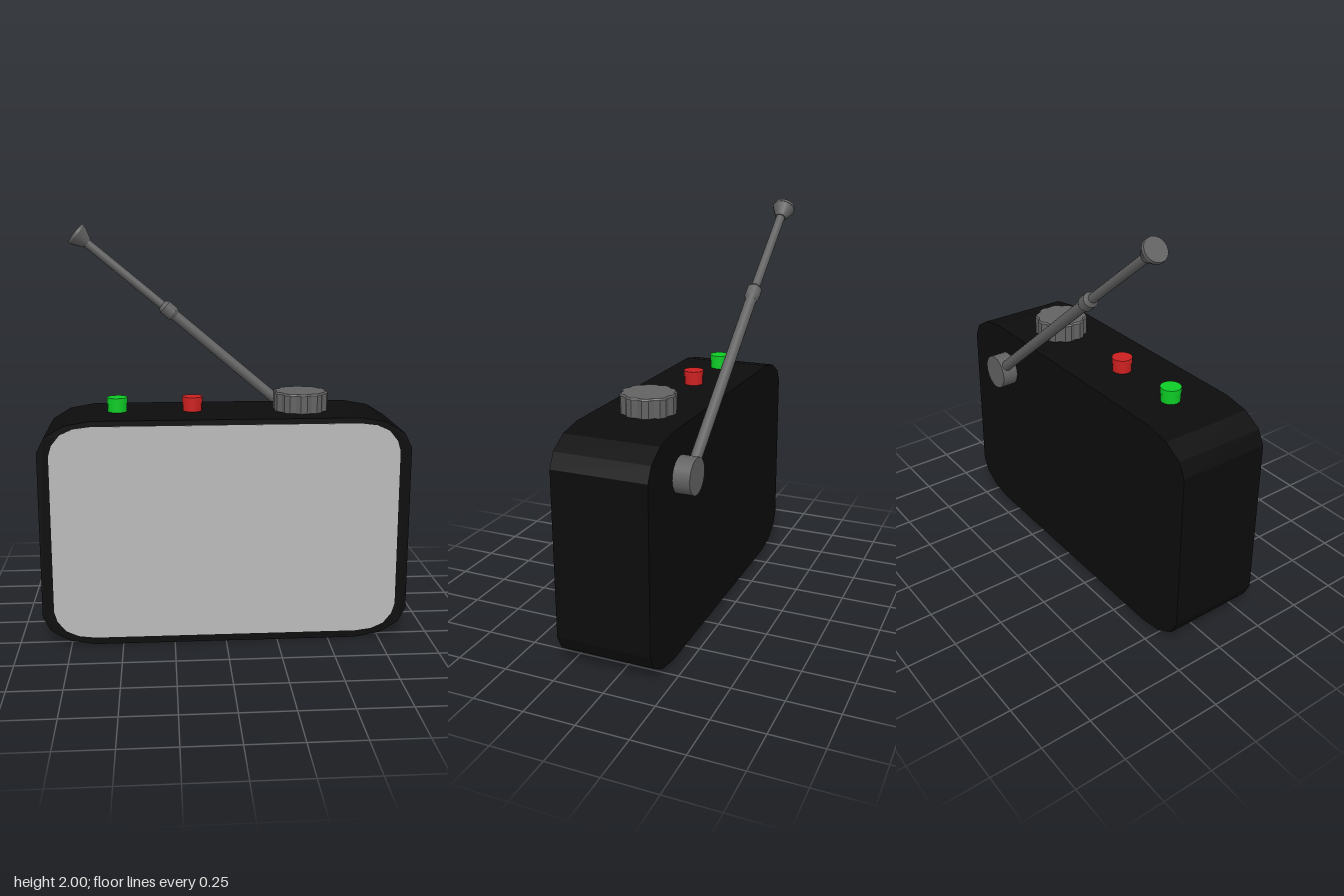
import * as THREE from 'three';

const mat = (name, color) => {
  const m = new THREE.MeshStandardMaterial({ color });
  m.name = name;
  return m;
};

// Outline symmetric about x = 0 and the given mid height, from one corner's points
function mirroredShape(corner, mid) {
  const back = [...corner].reverse();
  const pts = [
    ...corner.map(([x, y]) => [x, mid + y]),
    ...back.map(([x, y]) => [-x, mid + y]),
    ...corner.map(([x, y]) => [-x, mid - y]),
    ...back.map(([x, y]) => [x, mid - y]),
  ];
  return new THREE.Shape(pts.map(([x, y]) => new THREE.Vector2(x, y)));
}

export function createModel() {
  const group = new THREE.Group();
  const black = mat('black casing', 0x0c0c0c);
  const grey = mat('dark grey', 0x626262);
  const silver = mat('light grey panel', 0xbababa);
  const green = mat('green', 0x0dcc25);
  const red = mat('red', 0xcc2020);

  const add = (name, geometry, material, parent = group) => {
    const mesh = new THREE.Mesh(geometry, material);
    mesh.name = name;
    parent.add(mesh);
    return mesh;
  };

  // Casing with faceted corners
  const casing = mirroredShape([[0.885, 0.405], [0.85, 0.475], [0.76, 0.53], [0.635, 0.5525]], 0.5525);
  add('casing', new THREE.ExtrudeGeometry(casing, { depth: 0.465, bevelEnabled: false }), black)
    .position.z = -0.175;

  // Front panel, a thin plate
  const panel = mirroredShape([[0.83, 0.385], [0.815, 0.435], [0.775, 0.485], [0.715, 0.512], [0.635, 0.522]], 0.5565);
  add('frontPanel', new THREE.ExtrudeGeometry(panel, { depth: 0.004, bevelEnabled: false }), silver)
    .position.z = 0.288;

  // Buttons with a slight lip at the top
  for (const [name, x, material] of [['greenButton', -0.515, green], ['redButton', -0.15, red]]) {
    const button = new THREE.Group();
    button.name = name;
    button.position.set(x, 1.1, 0.05);
    add(name + 'Stem', new THREE.CylinderGeometry(0.047, 0.047, 0.06, 16), material, button).position.y = 0.025;
    add(name + 'Cap', new THREE.CylinderGeometry(0.05, 0.05, 0.03, 16), material, button).position.y = 0.06;
    group.add(button);
  }

  // Tuning knob with a scalloped rim
  const lobes = 10, rim = [];
  for (let i = 0; i < lobes * 3; i++) {
    const a = (i / (lobes * 3)) * Math.PI * 2;
    const r = i % 3 === 0 ? 0.116 : 0.127;
    rim.push(new THREE.Vector2(Math.cos(a) * r, Math.sin(a) * r));
  }
  const knob = add('tuningKnob', new THREE.ExtrudeGeometry(new THREE.Shape(rim), {
    depth: 0.085, bevelThickness: 0.008, bevelSize: 0.006, bevelSegments: 1,
  }), grey);
  knob.rotation.x = -Math.PI / 2;
  knob.position.set(0.38, 1.105, 0.055);

  // Antenna pivot on the back
  const pivot = add('antennaPivot', new THREE.CylinderGeometry(0.0875, 0.0875, 0.085, 20), grey);
  pivot.rotation.x = Math.PI / 2;
  pivot.position.set(0.55, 0.888, -0.2145);

  // Antenna sections, each a tapered cylinder between two points
  const up = new THREE.Vector3(0, 1, 0);
  const section = (name, from, to, r0, r1) => {
    const a = new THREE.Vector3(...from), b = new THREE.Vector3(...to);
    const dir = b.clone().sub(a);
    const mesh = add(name, new THREE.CylinderGeometry(r1, r0, dir.length(), 16), grey);
    mesh.position.copy(a).add(b).multiplyScalar(0.5);
    mesh.quaternion.setFromUnitVectors(up, dir.normalize());
  };
  section('antennaLowerRod', [0.53, 0.905, -0.222], [-0.26, 1.572, -0.224], 0.027, 0.027);
  section('antennaJointLower', [-0.222, 1.54, -0.224], [-0.236, 1.552, -0.224], 0.027, 0.037);
  section('antennaJoint', [-0.236, 1.552, -0.224], [-0.276, 1.586, -0.224], 0.037, 0.037);
  section('antennaJointUpper', [-0.276, 1.586, -0.224], [-0.29, 1.598, -0.224], 0.037, 0.022);
  section('antennaUpperRod', [-0.26, 1.572, -0.224], [-0.68, 1.92, -0.229], 0.022, 0.022);
  section('antennaTip', [-0.658, 1.902, -0.229], [-0.705, 1.943, -0.23], 0.027, 0.058);
  section('antennaTipEnd', [-0.705, 1.943, -0.23], [-0.717, 1.953, -0.23], 0.058, 0.056);

  return group;
}
